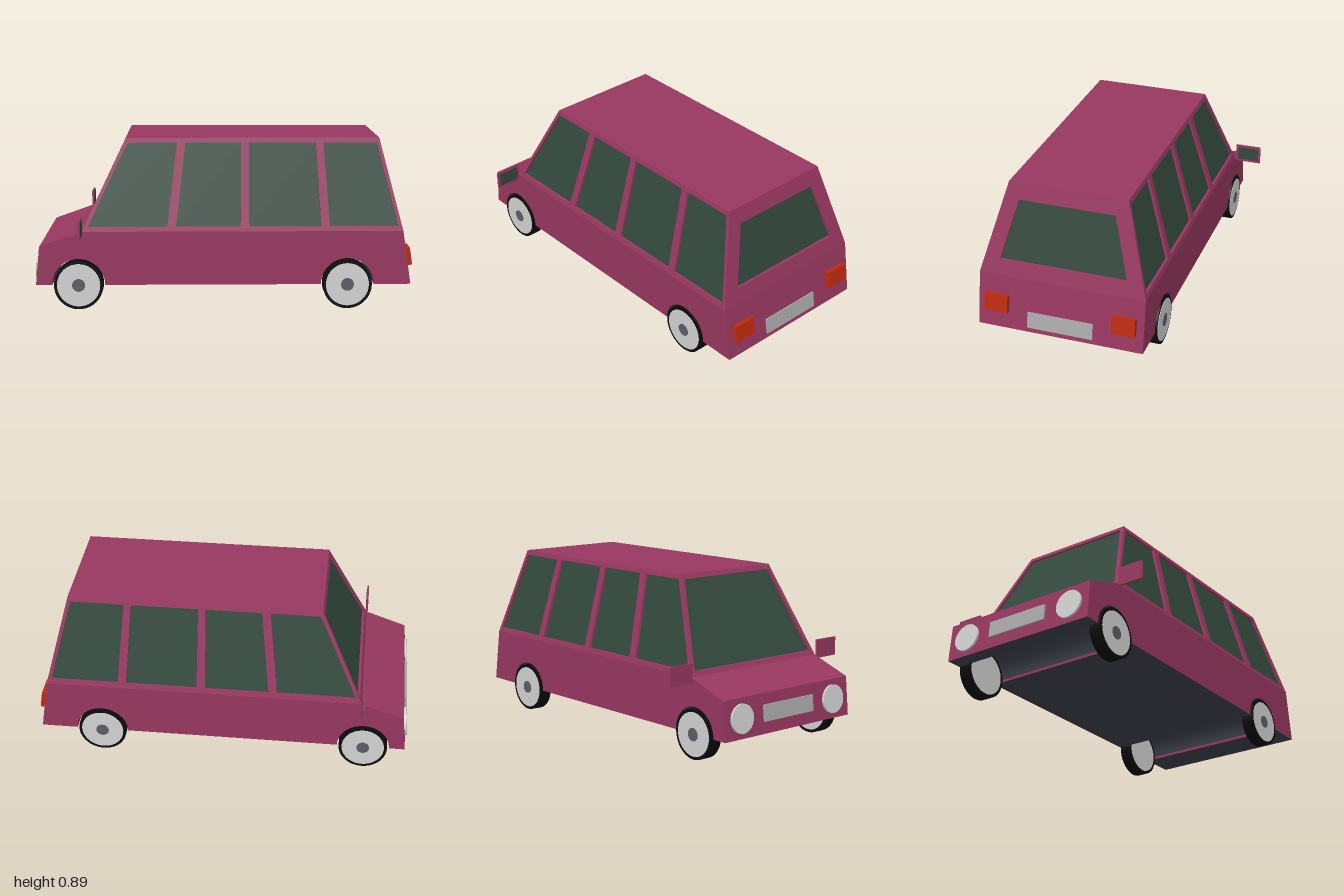
import * as THREE from 'three';

const mat = (name, color, side = THREE.FrontSide) => {
  const m = new THREE.MeshStandardMaterial({ color, side });
  m.name = name;
  return m;
};

// Main dimensions; the car's nose points to -x
const BELT = 0.415, ROOF = 0.895, HALF = 0.445, ROOF_HALF = 0.315;
const FRONT = [-0.75, -0.52], REAR = [0.942, 0.822]; // x at belt and at roof
const AXLES = [-0.77, 0.65], WHEEL_R = 0.13, ARCH_R = 0.14, SILL = 0.13;

const poly = (pts) => new THREE.Shape(pts.map(([x, y]) => new THREE.Vector2(x, y)));

export function createModel() {
  const paint = mat('maroon paint', 0x97375f);
  const glass = mat('dark green glass', 0x32483c, THREE.DoubleSide);
  const under = mat('slate underside', 0x3b3f49);
  const rubber = mat('black rubber', 0x0b0b0b);
  const rim = mat('pale metal', 0xd2d2d2);
  const cap = mat('grey hub', 0x5b5e67);
  const plate = mat('grey plate', 0xaaaaaa);
  const red = mat('red lamp', 0xbd2a10);

  const car = new THREE.Group();
  car.name = 'car';
  const add = (name, geo, material, x = 0, y = 0, z = 0, parent = car) => {
    const m = new THREE.Mesh(geo, material);
    m.name = name;
    m.position.set(x, y, z);
    parent.add(m);
    return m;
  };

  // Lower body: side profile with wheel arches, extruded across the width
  const profile = new THREE.Shape();
  profile.moveTo(-0.995, SILL);
  AXLES.forEach((x) => {
    profile.lineTo(x - ARCH_R, SILL);
    profile.absarc(x, SILL, ARCH_R, Math.PI, 0, true);
  });
  [[0.985, SILL], [REAR[0], BELT], [FRONT[0], BELT], [-0.975, 0.335]].forEach(([x, y]) => profile.lineTo(x, y));
  const solid = new THREE.ExtrudeGeometry(profile, { depth: HALF * 2, bevelEnabled: false, curveSegments: 16 });
  solid.translate(0, 0, -HALF);

  // Split the solid: faces that look down become the underside
  const src = solid.attributes.position, upper = [], lower = [];
  const tri = new THREE.Triangle(), n = new THREE.Vector3();
  for (let i = 0; i < src.count; i += 3) {
    tri.setFromAttributeAndIndices(src, i, i + 1, i + 2);
    tri.getNormal(n);
    const list = n.y < -0.05 ? lower : upper;
    [tri.a, tri.b, tri.c].forEach((v) => list.push(v.x, v.y, v.z));
  }
  const soup = (list) => {
    const g = new THREE.BufferGeometry();
    g.setAttribute('position', new THREE.Float32BufferAttribute(list, 3));
    g.computeVertexNormals();
    return g;
  };
  add('lowerBody', soup(upper), paint);
  add('underside', soup(lower), under);

  // Sloping cabin wall: drawn flat, leaned inward, then turned to its side
  const lean = (geo, base, top, angle) => {
    const p = geo.attributes.position, k = (base - top) / (ROOF - BELT);
    for (let i = 0; i < p.count; i++) p.setZ(i, p.getZ(i) + base - k * (p.getY(i) - BELT));
    geo.rotateY(angle);
    geo.computeVertexNormals();
    return geo;
  };
  const wall = (name, outline, windows, base, top, angle) => {
    const shape = poly(outline);
    shape.holes = windows.map((w) => new THREE.Path(poly(w).getPoints()));
    const frame = new THREE.ExtrudeGeometry(shape, { depth: 0.02, bevelEnabled: false });
    frame.translate(0, 0, -0.02);
    add(name + 'Frame', lean(frame, base, top, angle), paint);
    windows.forEach((w, i) => {
      const pane = new THREE.ShapeGeometry(poly(w));
      pane.translate(0, 0, -0.014);
      add(name + 'Window' + (i + 1), lean(pane, base, top, angle), glass);
    });
  };

  // Side walls, the far one mirrored
  const sideOutline = [[FRONT[0], BELT], [REAR[0], BELT], [REAR[1], ROOF], [FRONT[1], ROOF]];
  const sideWindows = [
    [[-0.725, 0.44], [-0.3, 0.44], [-0.25, 0.87], [-0.51, 0.87]],
    [[-0.255, 0.44], [0.085, 0.44], [0.09, 0.87], [-0.205, 0.87]],
    [[0.13, 0.44], [0.51, 0.44], [0.485, 0.87], [0.13, 0.87]],
    [[0.555, 0.44], [0.915, 0.44], [0.81, 0.87], [0.525, 0.87]],
  ];
  const flip = (pts) => pts.map(([x, y]) => [-x, y]).reverse();
  wall('leftSide', sideOutline, sideWindows, HALF, ROOF_HALF, 0);
  wall('rightSide', flip(sideOutline), sideWindows.map(flip), HALF, ROOF_HALF, Math.PI);

  // Windscreen and tailgate
  const trapezoid = (w0, y0, w1, y1) => [[-w0, y0], [w0, y0], [w1, y1], [-w1, y1]];
  const endOutline = trapezoid(HALF, BELT, ROOF_HALF, ROOF);
  wall('windscreen', endOutline, [trapezoid(0.415, 0.44, 0.3, 0.87)], -FRONT[0], -FRONT[1], -Math.PI / 2);
  wall('tailgate', endOutline, [trapezoid(0.34, 0.495, 0.255, 0.81)], REAR[0], REAR[1], Math.PI / 2);

  // Roof
  add('roof', new THREE.BoxGeometry(REAR[1] - FRONT[1], 0.018, ROOF_HALF * 2), paint,
    (REAR[1] + FRONT[1]) / 2, ROOF - 0.009, 0);

  // Wheels
  const disc = (r, w) => new THREE.CylinderGeometry(r, r, w, 40).rotateX(Math.PI / 2);
  AXLES.forEach((x, i) => [1, -1].forEach((s) => {
    const wheel = new THREE.Group();
    wheel.name = (i ? 'rear' : 'front') + (s > 0 ? 'Left' : 'Right') + 'Wheel';
    wheel.position.set(x, WHEEL_R, s * 0.418);
    add('tyre', disc(WHEEL_R, 0.066), rubber, 0, 0, 0, wheel);
    add('rim', disc(0.114, 0.071), rim, 0, 0, 0, wheel);
    add('hubCap', disc(0.034, 0.008), cap, 0, 0, s * 0.035, wheel);
    car.add(wheel);
  }));

  // Lamps and plates, tilted with the nose and tail faces
  const noseTilt = -0.097, tailTilt = 0.15;
  [1, -1].forEach((s) => {
    const head = new THREE.CylinderGeometry(0.075, 0.075, 0.024, 32).rotateZ(Math.PI / 2);
    add('headlamp', head, rim, -0.985, 0.232, s * 0.328).rotation.z = noseTilt;
    add('tailLamp', new THREE.BoxGeometry(0.04, 0.092, 0.125), red, 0.972, 0.268, s * 0.342).rotation.z = tailTilt;
  });
  add('frontPlate', new THREE.BoxGeometry(0.016, 0.086, 0.352), plate, -0.986, 0.235, 0).rotation.z = noseTilt;
  add('rearPlate', new THREE.BoxGeometry(0.016, 0.086, 0.352), plate, 0.974, 0.198, 0).rotation.z = tailTilt;

  // Door mirrors with glass on the rearward face
  [1, -1].forEach((s) => {
    const mirror = new THREE.Group();
    mirror.name = s > 0 ? 'leftMirror' : 'rightMirror';
    mirror.position.set(s > 0 ? -0.752 : -0.758, s > 0 ? 0.446 : 0.44, s * 0.526);
    add('mirrorShell', new THREE.BoxGeometry(0.01, 0.1, 0.145), paint, 0, 0, 0, mirror);
    add('mirrorGlass', new THREE.BoxGeometry(0.004, 0.074, 0.118), glass, 0.005, 0, 0, mirror);
    add('mirrorStalk', new THREE.BoxGeometry(0.01, 0.01, 0.04), paint, 0, -0.036, -s * 0.085, mirror);
    car.add(mirror);
  });

  return car;
}
